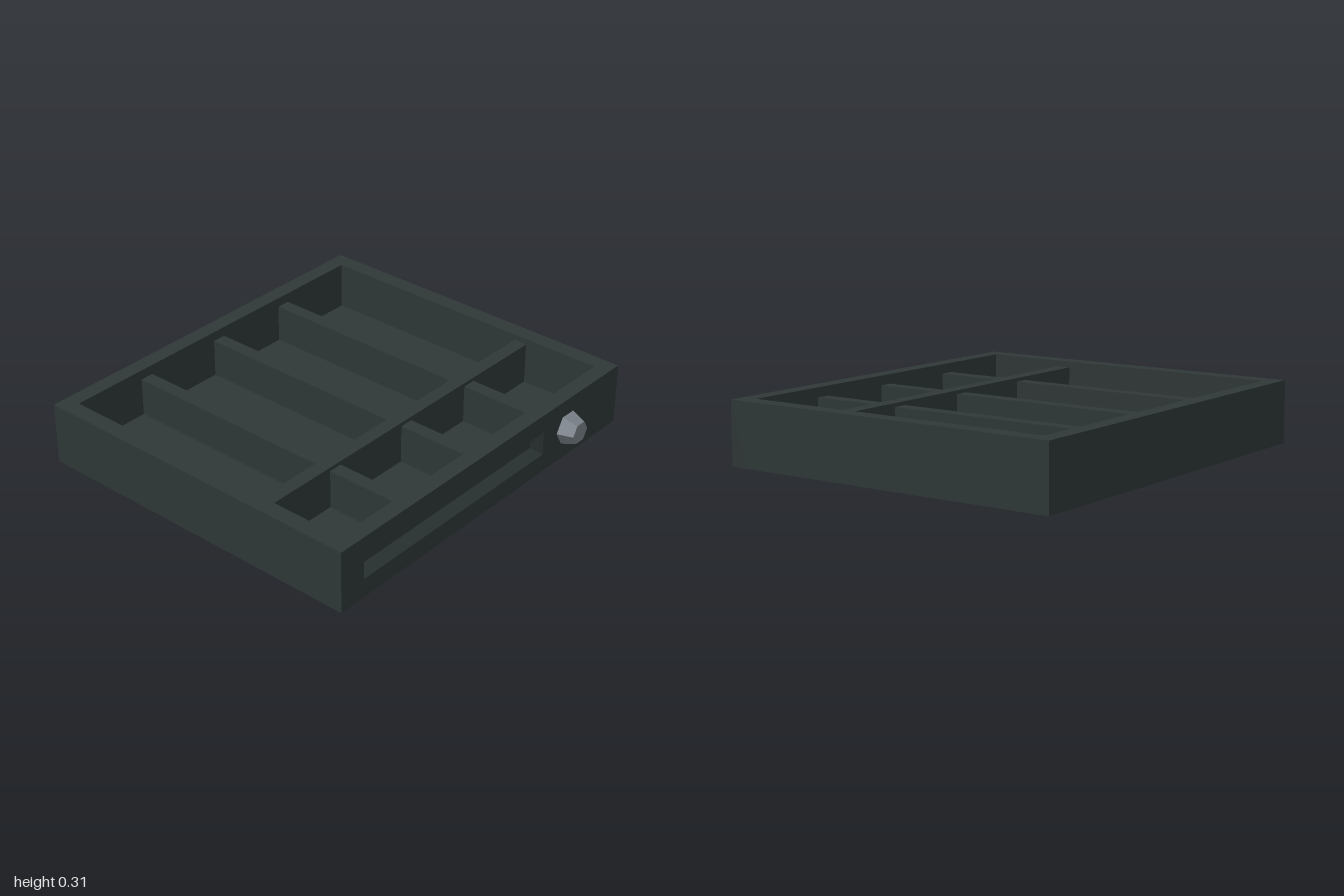
import * as THREE from 'three';

const trayMat = new THREE.MeshStandardMaterial({ name: 'dark slate', color: 0x2f3737, flatShading: true });
const knobMat = new THREE.MeshStandardMaterial({ name: 'grey metal', color: 0x7a828a, flatShading: true });

// Box given by its limits on each axis
function slab(name, x0, x1, y0, y1, z0, z1) {
  const geo = new THREE.BoxGeometry(x1 - x0, y1 - y0, z1 - z0);
  geo.translate((x0 + x1) / 2, (y0 + y1) / 2, (z0 + z1) / 2);
  const mesh = new THREE.Mesh(geo, trayMat);
  mesh.name = name;
  return mesh;
}

// Closed solid through rectangles [x0, x1, y0, y1, z], listed from back to front face
function loftRects(rects) {
  const pos = [];
  const index = [];
  for (const [x0, x1, y0, y1, z] of rects) {
    pos.push(x0, y0, z, x1, y0, z, x1, y1, z, x0, y1, z);
  }
  for (let r = 0; r < rects.length - 1; r++) {
    for (let i = 0; i < 4; i++) {
      const j = (i + 1) % 4;
      const a = r * 4, b = a + 4;
      index.push(a + i, a + j, b + j, a + i, b + j, b + i);
    }
  }
  const e = (rects.length - 1) * 4;
  index.push(0, 2, 1, 0, 3, 2, e, e + 1, e + 2, e, e + 2, e + 3);
  const geo = new THREE.BufferGeometry();
  geo.setAttribute('position', new THREE.Float32BufferAttribute(pos, 3));
  geo.setIndex(index);
  const flat = geo.toNonIndexed();
  flat.computeVertexNormals();
  return flat;
}

export function createModel() {
  const group = new THREE.Group();
  group.name = 'dividedDrawer';

  const H = 0.31, FLOOR = 0.07;
  const BACK = -0.915, FRONT = 0.84;
  const IN_X = 0.917, IN_BACK = -0.835, IN_FRONT = 0.76;

  // Tray floor and plain walls
  group.add(slab('floor', -IN_X, IN_X, 0, FLOOR, IN_BACK, IN_FRONT));
  group.add(slab('backWall', -1, 1, 0, H, BACK, IN_BACK));
  group.add(slab('leftWall', IN_X, 1, 0, H, IN_BACK, IN_FRONT));
  group.add(slab('rightWall', -1, -IN_X, 0, H, IN_BACK, IN_FRONT));

  // Front wall with a bevelled finger groove
  const frontWall = new THREE.Mesh(loftRects([
    [-1, 1, 0, H, IN_FRONT],
    [-1, 1, 0, H, FRONT],
    [-0.855, 0.41, 0.095, 0.215, FRONT],
    [-0.815, 0.37, 0.132, 0.178, FRONT - 0.045],
  ]), trayMat);
  frontWall.name = 'frontWall';
  group.add(frontWall);

  // Cross divider, with lower lengthwise dividers on both sides of it
  group.add(slab('crossDivider', -IN_X, IN_X, FLOOR, 0.28, 0.29, 0.36));
  for (const x of [-0.49, 0, 0.465]) {
    group.add(slab('longDivider', x - 0.035, x + 0.035, FLOOR, 0.262, IN_BACK, 0.29));
    group.add(slab('shortDivider', x - 0.035, x + 0.035, FLOOR, 0.262, 0.36, IN_FRONT));
  }

  // Tapered six-sided knob
  const knobGeo = new THREE.CylinderGeometry(0.056, 0.083, 0.075, 6);
  knobGeo.rotateY(Math.PI / 6).rotateX(Math.PI / 2);
  const knob = new THREE.Mesh(knobGeo, knobMat);
  knob.name = 'knob';
  knob.position.set(0.598, 0.155, FRONT + 0.0375);
  group.add(knob);

  return group;
}
